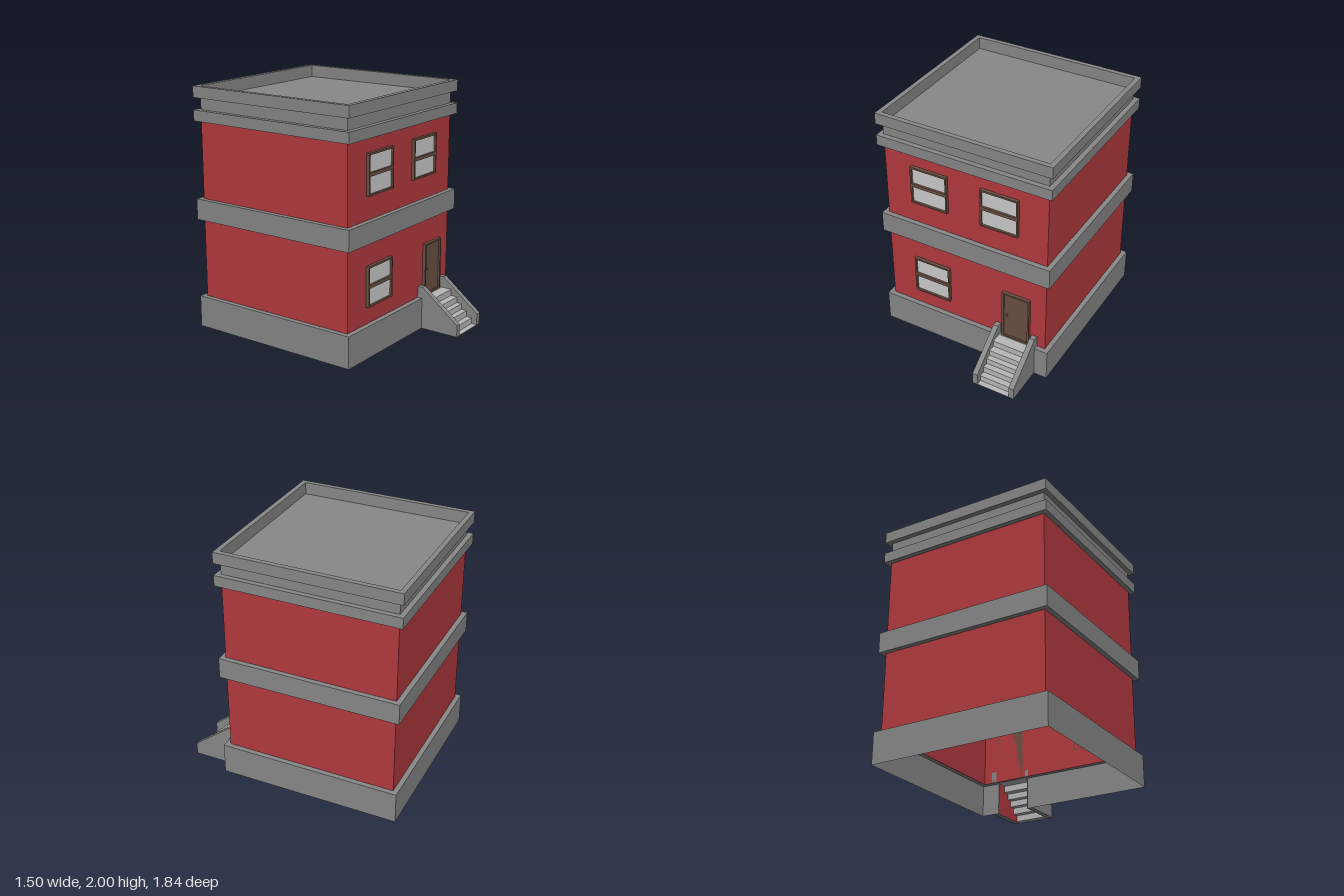
import * as THREE from 'three';

const mat = (color) => new THREE.MeshStandardMaterial({ color, flatShading: true, side: THREE.DoubleSide });

export function createModel() {
  const model = new THREE.Group();
  const stone = mat(0x888888), brick = mat(0xb33a3f), wood = mat(0x6a5043);
  const stepStone = mat(0xb8b8b8), glass = mat(0xcccccc);
  const OUT = 0.752, IN = 0.711, CZ = -0.167;
  const FRONT = CZ + IN, BASE_FRONT = CZ + OUT, BASE_TOP = 0.262;

  function add(name, geometry, material, parent = model) {
    const mesh = new THREE.Mesh(geometry, material);
    mesh.name = name;
    parent.add(mesh);
    return mesh;
  }
  function box(name, x0, x1, y0, y1, z0, z1, material, parent) {
    const m = add(name, new THREE.BoxGeometry(x1 - x0, y1 - y0, z1 - z0), material, parent);
    m.position.set((x0 + x1) / 2, (y0 + y1) / 2, (z0 + z1) / 2);
  }
  // Square shell from a profile of [half width, height], listed upwards
  function shell(name, profile, material, sides = 4) {
    const pts = profile.map(([r, y]) => new THREE.Vector2(r * Math.SQRT2, y));
    const g = new THREE.LatheGeometry(pts, sides, Math.PI / 4, sides * Math.PI / 2).toNonIndexed();
    g.computeVertexNormals();
    add(name, g, material).position.z = CZ;
  }
  // Upright or flat rectangular sheet
  function sheet(name, x0, x1, a0, a1, at, flat, material, parent) {
    const g = new THREE.PlaneGeometry(x1 - x0, a1 - a0);
    if (flat) g.rotateX(-Math.PI / 2);
    const m = add(name, g, material, parent), a = (a0 + a1) / 2;
    m.position.set((x0 + x1) / 2, flat ? at : a, flat ? a : at);
  }

  // Hollow body: brick storeys between projecting stone bands
  shell('lowerWalls', [[IN, BASE_TOP], [IN, 0.917]], brick);
  shell('upperWalls', [[IN, 1.088], [IN, 1.722]], brick);
  shell('middleBand', [[IN, 0.917], [OUT, 0.917], [OUT, 1.088], [IN, 1.088]], stone);
  shell('cornice', [[IN, 1.722], [OUT, 1.722], [OUT, 1.81], [IN, 1.81], [IN, 1.908],
    [OUT, 1.908], [OUT, 2], [IN, 2], [IN, 1.9]], stone);
  const roof = add('roof', new THREE.PlaneGeometry(IN * 2, IN * 2).rotateX(-Math.PI / 2), stone);
  roof.position.set(0, 1.9, CZ);

  // Base, open at the front behind the stairs
  const SX0 = 0.27, SX1 = 0.64, CHEEK = 0.044;
  const ix0 = SX0 + CHEEK, ix1 = SX1 - CHEEK;
  shell('baseWalls', [[OUT, 0], [OUT, BASE_TOP]], stone, 3);
  shell('baseLedge', [[OUT, BASE_TOP], [IN, BASE_TOP]], stone);
  sheet('baseFront', -OUT, ix0, 0, BASE_TOP, BASE_FRONT, false, stone);
  sheet('baseFront', ix1, OUT, 0, BASE_TOP, BASE_FRONT, false, stone);

  // Stairs: thin treads and risers between two cheek walls
  const stairs = new THREE.Group();
  stairs.name = 'stairs';
  model.add(stairs);
  const noses = [[0.668, BASE_TOP], [0.727, 0.208], [0.773, 0.158], [0.822, 0.108], [0.873, 0.055], [0.92, 0.004]];
  const under = [[BASE_FRONT, 0], [BASE_FRONT, BASE_TOP]];
  let back = BASE_FRONT;
  noses.forEach(([z, y], i) => {
    sheet('tread', ix0, ix1, back, z, y, true, stepStone, stairs);
    const low = i < noses.length - 1 ? noses[i + 1][1] : 0;
    sheet('riser', ix0, ix1, low, y, z, false, stepStone, stairs);
    under.push([z, y], [z, low]);
    back = z;
  });
  // Side profiles are drawn in (z, y), then turned to face x
  const sideShape = (pts) => new THREE.Shape(pts.map(([z, y]) => new THREE.Vector2(-z, y)));
  const cheek = sideShape([[BASE_FRONT, 0], [0.92, 0], [0.92, 0.1], [0.59, 0.357],
    [FRONT, 0.357], [FRONT, BASE_TOP], [BASE_FRONT, BASE_TOP]]);
  for (const x of [SX0, ix1]) {
    const g = new THREE.ExtrudeGeometry(cheek, { depth: CHEEK, bevelEnabled: false });
    add('stairCheek', g.rotateY(Math.PI / 2), stone, stairs).position.x = x;
  }
  // Lining beneath the steps
  for (const x of [ix0 + 0.002, ix1 - 0.002]) {
    const g = new THREE.ShapeGeometry(sideShape(under)).rotateY(Math.PI / 2);
    add('stairLining', g, brick, stairs).position.x = x;
  }

  // Rectangular frame with openings, standing out from the front wall
  function frame(name, x0, x1, y0, y1, holes, parent) {
    const rect = (Type, a, b, c, d) => new Type([[a, c], [b, c], [b, d], [a, d]].map((p) => new THREE.Vector2(...p)));
    const s = rect(THREE.Shape, x0, x1, y0, y1);
    s.holes = holes.map((h) => rect(THREE.Path, ...h));
    const g = new THREE.ExtrudeGeometry(s, { depth: 0.027, bevelEnabled: false });
    add(name, g, wood, parent).position.z = FRONT;
  }

  // Two-pane windows
  for (const [cx, y] of [[-0.31, 0.402], [-0.31, 1.277], [0.306, 1.277]]) {
    const w = new THREE.Group();
    w.name = 'window';
    model.add(w);
    const panes = [[cx - 0.149, cx + 0.149, y + 0.013, y + 0.15], [cx - 0.149, cx + 0.149, y + 0.178, y + 0.313]];
    frame('windowFrame', cx - 0.162, cx + 0.162, y, y + 0.328, panes, w);
    for (const p of panes) sheet('windowPane', ...p, FRONT + 0.01, false, glass, w);
  }

  // Door
  const door = new THREE.Group();
  door.name = 'door';
  model.add(door);
  frame('doorFrame', 0.335, 0.577, BASE_TOP, 0.703, [[0.35, 0.562, 0.275, 0.689]], door);
  box('doorPanel', 0.35, 0.562, 0.275, 0.689, FRONT, FRONT + 0.012, wood, door);
  const knob = add('doorKnob', new THREE.SphereGeometry(0.01, 10, 8), wood, door);
  knob.position.set(0.376, 0.482, FRONT + 0.017);

  return model;
}
